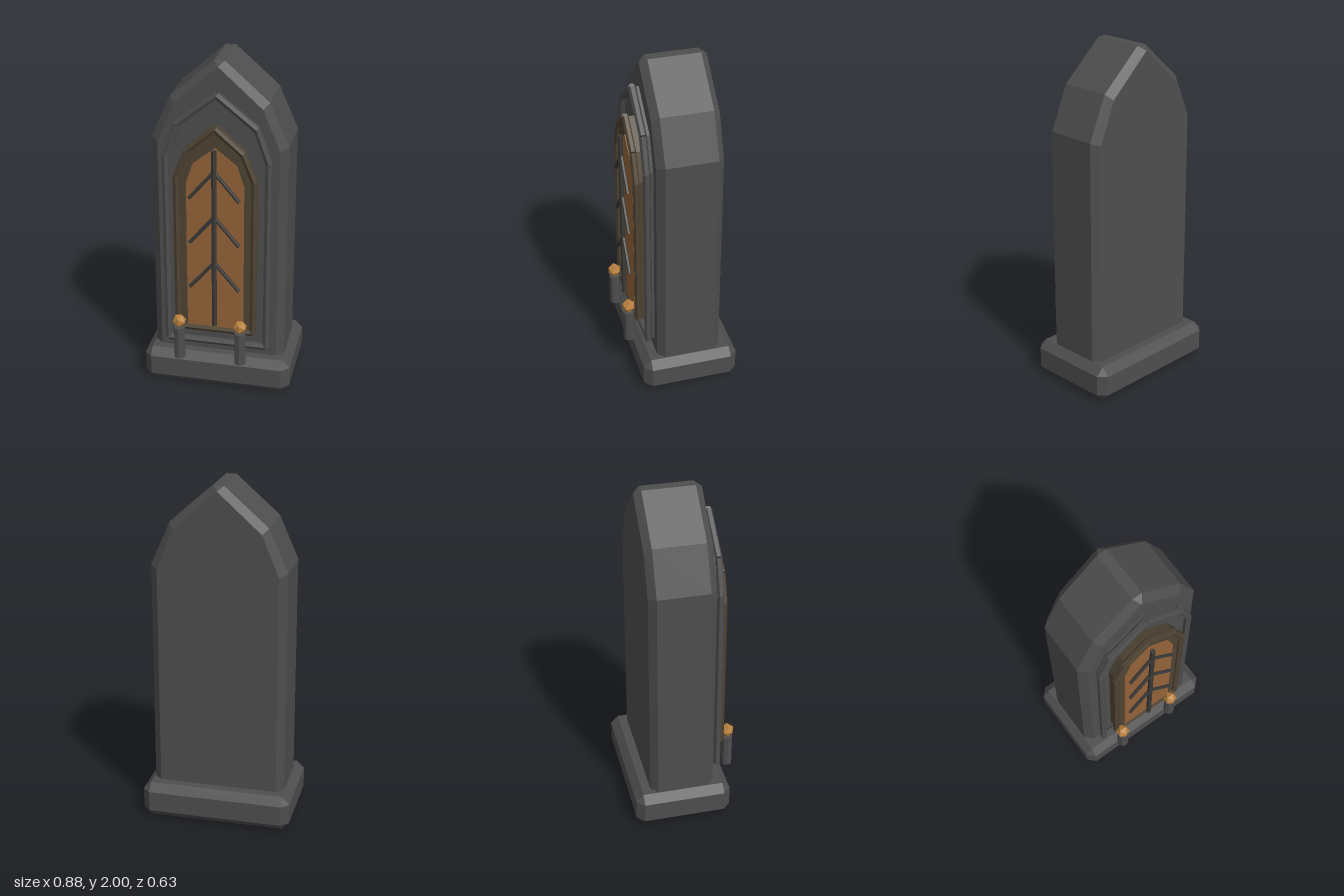
import * as THREE from 'three';
import { ConvexGeometry } from 'three/addons/geometries/ConvexGeometry.js';

const mat = (name, color) => {
  const m = new THREE.MeshStandardMaterial({ color, flatShading: true });
  m.name = name;
  return m;
};
const V = (x, y, z) => new THREE.Vector3(x, y, z);

// Faceted pointed arch outline, mirrored about x = 0; cap is half the width of a blunt tip
function arch(w, y0, spring, sx, sy, apex, cap = 0) {
  const half = [[w, y0], [w, spring], [sx, sy], [cap, apex]];
  const mirrored = half.map(([x, y]) => [-x, y]).reverse();
  return half.concat(cap ? mirrored : mirrored.slice(1));
}

// Convex solid through outlines placed at given depths
function layered(layers) {
  return new ConvexGeometry(layers.flatMap(([pts, z]) => pts.map(([x, y]) => V(x, y, z))));
}

// Box with every edge chamfered
function chamferBox(w, h, d, c) {
  const pts = [];
  for (const sx of [-1, 1]) for (const sy of [-1, 1]) for (const sz of [-1, 1]) {
    const x = w / 2, y = h / 2, z = d / 2;
    pts.push(V(sx * x, sy * (y - c), sz * (z - c)));
    pts.push(V(sx * (x - c), sy * y, sz * (z - c)));
    pts.push(V(sx * (x - c), sy * (y - c), sz * z));
  }
  return new ConvexGeometry(pts);
}

export function createModel() {
  const model = new THREE.Group();
  model.name = 'archedMonument';
  const stone = mat('darkStone', 0x4e4e4e);
  const iron = mat('iron', 0x3b3a38);
  const bronze = mat('darkBronze', 0x4e4333);
  const amber = mat('amberGlass', 0x946338);
  const gold = mat('gold', 0xb8803c);

  const add = (name, geometry, material, parent = model) => {
    const mesh = new THREE.Mesh(geometry, material);
    mesh.name = name;
    parent.add(mesh);
    return mesh;
  };

  // Hexagonal bar from a to b
  const bar = (name, a, b, r, material, parent) => {
    const dir = b.clone().sub(a);
    const mesh = add(name, new THREE.CylinderGeometry(r, r, dir.length(), 6), material, parent);
    mesh.position.copy(a).add(b).multiplyScalar(0.5);
    mesh.quaternion.setFromUnitVectors(V(0, 1, 0), dir.normalize());
    return mesh;
  };

  // Closed run of bars following an outline
  const frame = (name, pts, z, r, material) => {
    const group = new THREE.Group();
    group.name = name;
    model.add(group);
    pts.forEach(([x, y], i) => {
      const [x2, y2] = pts[(i + 1) % pts.length];
      bar(name + 'Bar', V(x, y, z), V(x2, y2, z), r, material, group);
    });
  };

  // Plinth
  add('plinth', chamferBox(0.88, 0.21, 0.57, 0.045), stone).position.set(0, 0.105, -0.033);

  // Pointed slab with chamfered front and back edges
  const outer = arch(0.39, 0.18, 1.53, 0.28, 1.78, 2.0, 0.03);
  const inner = arch(0.347, 0.18, 1.515, 0.25, 1.75, 1.975);
  add('slab', layered([[inner, -0.222], [outer, -0.182], [outer, 0.117], [inner, 0.158]]), stone);

  // Raised stone panel and its moulding
  const panel = arch(0.293, 0.288, 1.455, 0.225, 1.65, 1.83);
  add('stonePanel', layered([[panel, 0.15], [panel, 0.174]]), stone);
  frame('stoneMoulding', panel, 0.197, 0.021, stone);

  // Bronze window surround and its moulding
  const surround = arch(0.222, 0.398, 1.355, 0.158, 1.515, 1.652);
  add('windowSurround', layered([[surround, 0.17], [surround, 0.237]]), bronze);
  frame('windowMoulding', surround, 0.237, 0.02, bronze);

  // Glowing pane
  const pane = arch(0.165, 0.41, 1.32, 0.125, 1.44, 1.54);
  add('windowPane', layered([[pane, 0.236], [pane, 0.244]]), amber);

  // Mullion with three pairs of drooping branches
  bar('mullion', V(0, 0.44, 0.268), V(0, 1.535, 0.268), 0.015, iron);
  for (const y of [0.85, 1.135, 1.41]) {
    for (const s of [-1, 1]) {
      bar('branch', V(0, y, 0.266), V(s * 0.143, y - 0.17, 0.266), 0.011, iron);
    }
  }

  // Front posts with faceted finials
  for (const x of [-0.207, 0.155]) {
    add('post', new THREE.CylinderGeometry(0.033, 0.033, 0.2, 8), stone).position.set(x, 0.31, 0.281);
    add('finial', new THREE.IcosahedronGeometry(0.042, 0), gold).position.set(x, 0.452, 0.281);
  }
  return model;
}
